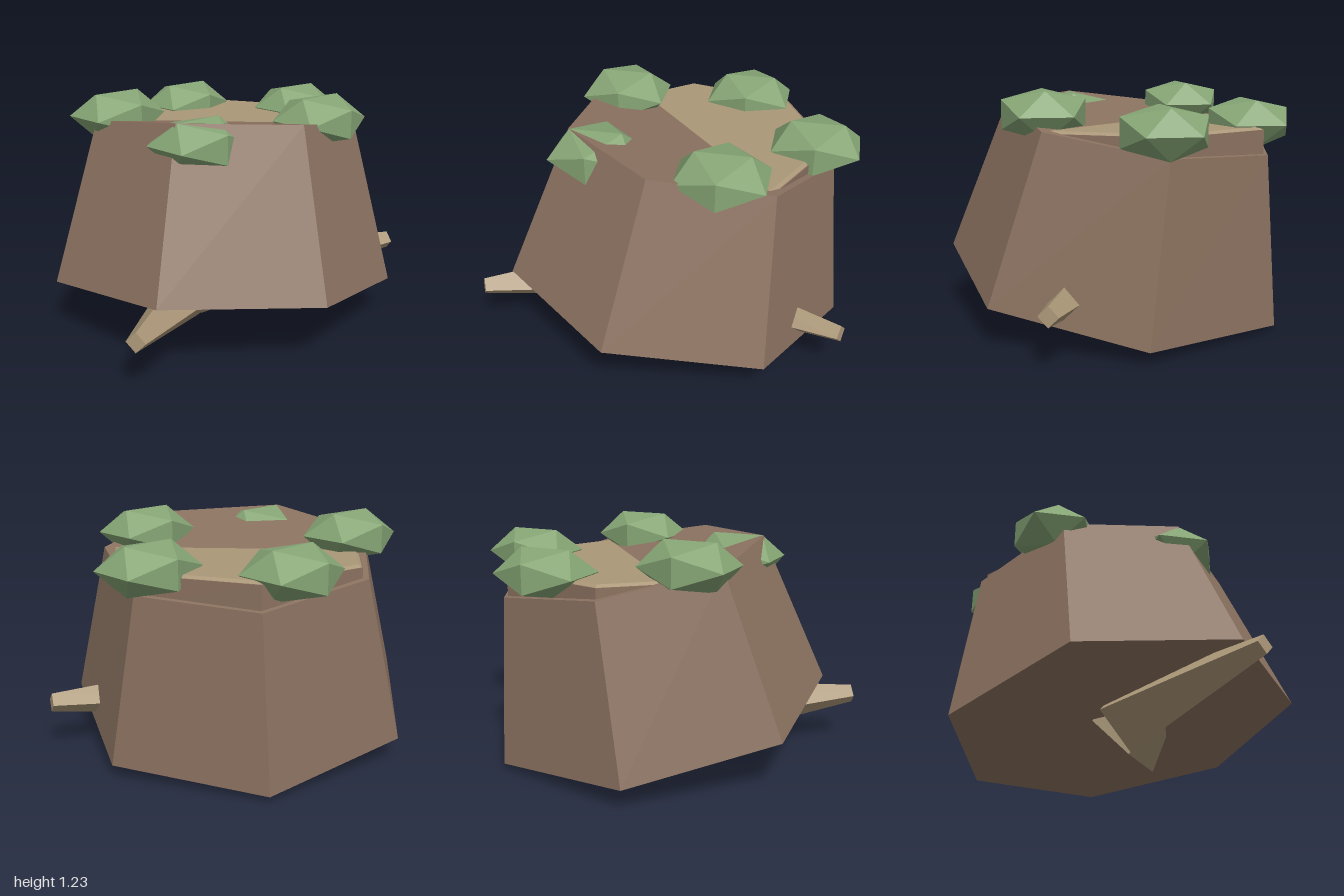
import * as THREE from 'three';

export function createModel() {
  const model = new THREE.Group();
  model.name = 'treeStump';

  const material = (name, color) => {
    const m = new THREE.MeshStandardMaterial({ color, flatShading: true });
    m.name = name;
    return m;
  };
  const bark = material('bark', 0x8b7260);
  const wood = material('paleWood', 0xab9778);
  const moss = material('moss', 0x86a575);

  const add = (name, geometry, mat, position) => {
    const mesh = new THREE.Mesh(geometry, mat);
    mesh.name = name;
    mesh.position.copy(position);
    model.add(mesh);
    return mesh;
  };

  // Leaning seven-sided trunk
  const SIDES = 7;
  const TURN = THREE.MathUtils.degToRad(-11.7);
  const prism = (top, bottom, height) =>
    new THREE.CylinderGeometry(top, bottom, height, SIDES, 1, false, TURN);
  const foot = new THREE.Vector3(0.01, 0.205, 0);
  const crown = new THREE.Vector3(0.131, 1.05, -0.107);
  const axis = crown.clone().sub(foot);
  const trunk = add('trunk', prism(0.72, 0.938, axis.length()), bark,
    foot.clone().lerp(crown, 0.5));
  trunk.quaternion.setFromUnitVectors(new THREE.Vector3(0, 1, 0), axis.clone().normalize());

  // Level cut face, half sunk into the leaning trunk
  add('cutRim', prism(0.685, 0.685, 0.14), bark, new THREE.Vector3(0.131, 0.972, -0.107));
  add('cutFace', prism(0.66, 0.68, 0.014), wood, new THREE.Vector3(0.131, 1.048, -0.107));

  // Two four-sided roots spreading from one point under the trunk
  const rootBase = new THREE.Vector3(-0.172, 0.193, 0);
  for (const [name, side] of [['leftRoot', 1], ['rightRoot', -1]]) {
    const tip = new THREE.Vector3(0.972 * side, 0.28, 0.455);
    const geometry = new THREE.CylinderGeometry(0.05, 0.19, tip.distanceTo(rootBase), 4);
    geometry.rotateX(Math.PI / 2);
    const root = add(name, geometry, wood, rootBase.clone().lerp(tip, 0.5));
    root.lookAt(tip);
  }

  // Flattened moss clumps around the top edge
  const clump = new THREE.IcosahedronGeometry(0.25, 0);
  clump.scale(1.055, 0.565, 0.985);
  [
    [0.74, 1.06, -0.107],
    [0.323, 1.115, 0.418],
    [-0.358, 1.06, 0.213],
    [-0.358, 1.115, -0.437],
    [0.323, 1.06, -0.637],
  ].forEach((p, i) => add(`mossClump${i + 1}`, clump, moss, new THREE.Vector3(...p)));

  return model;
}
